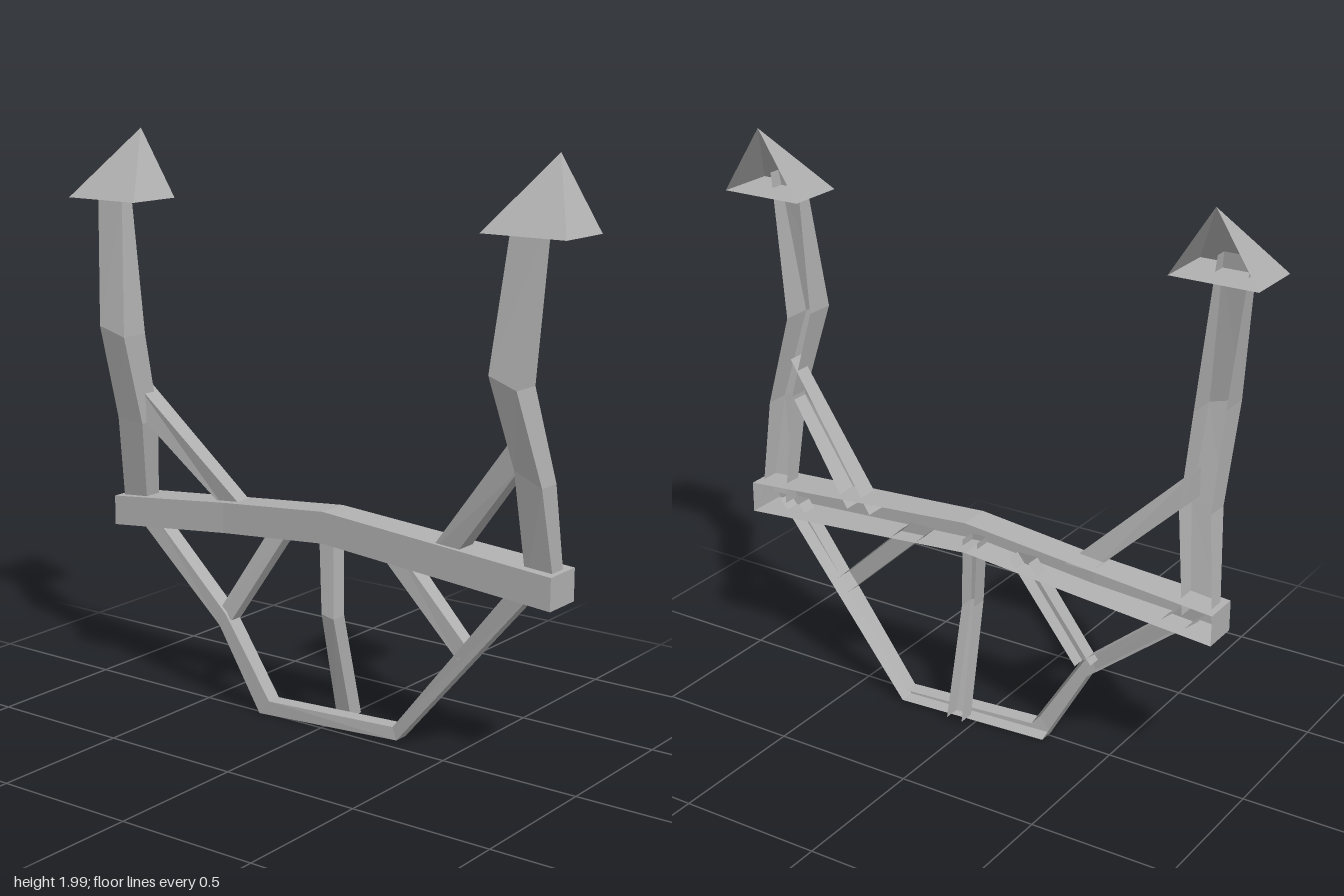
import * as THREE from 'three';

const stone = new THREE.MeshStandardMaterial({ color: 0xb0b0b0, side: THREE.DoubleSide, flatShading: true });
stone.name = 'plain grey';

// Flat-shaded mesh from a list of polygons (corners counter-clockwise from outside)
function facetMesh(name, polygons) {
  const positions = [];
  for (const poly of polygons) {
    for (let i = 1; i < poly.length - 1; i++) {
      positions.push(...poly[0], ...poly[i], ...poly[i + 1]);
    }
  }
  const geometry = new THREE.BufferGeometry();
  geometry.setAttribute('position', new THREE.Float32BufferAttribute(positions, 3));
  geometry.computeVertexNormals();
  const mesh = new THREE.Mesh(geometry, stone);
  mesh.name = name;
  return mesh;
}

// Beam open at the back. Each station: left edge x,y, right edge x,y (along travel), front z, back z
function channel(name, stations, closedEnds = false) {
  const rings = stations.map(([ax, ay, bx, by, zf, zb]) => [
    [ax, ay, zb], [ax, ay, zf], [bx, by, zf], [bx, by, zb],
  ]);
  const polygons = [];
  for (let i = 0; i < rings.length - 1; i++) {
    for (let j = 0; j < 3; j++) {
      polygons.push([rings[i][j], rings[i][j + 1], rings[i + 1][j + 1], rings[i + 1][j]]);
    }
  }
  if (closedEnds) {
    polygons.push([...rings[0]].reverse(), rings[rings.length - 1]);
  }
  return facetMesh(name, polygons);
}

// Half pyramid with its apex above the open back edge
function pointedCap(name, x) {
  const w = 0.15, y = 1.766, back = -0.08, front = 0.13;
  const apex = [x, 2, back];
  const bl = [x - w, y, back], br = [x + w, y, back];
  const fl = [x - w, y, front], fr = [x + w, y, front];
  return facetMesh(name, [[fl, fr, apex], [fr, br, apex], [bl, fl, apex], [bl, br, fr, fl]]);
}

export function createModel() {
  const model = new THREE.Group();
  model.name = 'openFrame';

  // Bent crossbeam
  model.add(channel('crossbeam', [
    [-0.905, 0.694, -0.905, 0.588, 0.03, -0.1],
    [-0.42, 0.738, -0.42, 0.63, 0.008, -0.1],
    [0.02, 0.778, 0.02, 0.668, 0.02, -0.095],
    [0.913, 0.714, 0.913, 0.604, 0.04, -0.105],
  ], true));

  // Crooked uprights with pointed caps
  model.add(channel('rightPost', [
    [-0.89, 0.65, -0.785, 0.65, -0.01, -0.07],
    [-0.847, 0.996, -0.735, 0.985, 0.065, -0.02],
    [-0.857, 1.33, -0.746, 1.3, 0.138, 0.03],
    [-0.91, 1.766, -0.8, 1.766, 0.075, 0.025],
    [-0.917, 1.82, -0.807, 1.82, 0.066, 0.024],
  ]));
  model.add(channel('leftPost', [
    [0.796, 0.65, 0.898, 0.65, -0.01, -0.07],
    [0.788, 1.04, 0.889, 0.996, 0.065, -0.02],
    [0.735, 1.34, 0.836, 1.304, 0.138, 0.03],
    [0.762, 1.766, 0.873, 1.766, 0.075, 0.025],
    [0.765, 1.82, 0.878, 1.82, 0.066, 0.024],
  ]));
  model.add(pointedCap('rightCap', -0.846), pointedCap('leftCap', 0.84));

  // Diagonal braces between posts and crossbeam
  model.add(channel('rightUpperBrace', [
    [-0.43, 0.694, -0.33, 0.694, -0.03, -0.09],
    [-0.77, 1.018, -0.77, 1.12, 0.05, -0.02],
  ]));
  model.add(channel('leftUpperBrace', [
    [0.43, 0.695, 0.525, 0.695, 0.01, -0.07],
    [0.8, 1.172, 0.8, 1.04, 0.055, -0.005],
  ]));

  // Hanging frame below the crossbeam, inner edge first
  model.add(channel('lowerFrame', [
    [-0.75, 0.645, -0.835, 0.635, 0.0, -0.06],
    [-0.396, 0.348, -0.422, 0.3, 0.03, -0.03],
    [-0.215, 0.06, -0.258, 0.008, 0.015, -0.04],
    [0.273, 0.062, 0.289, 0.018, -0.035, -0.09],
    [0.755, 0.646, 0.838, 0.646, 0.012, -0.045],
  ]));

  // Struts inside the hanging frame
  model.add(channel('centreStrut', [
    [0.01, 0.04, 0.07, 0.04, -0.075, -0.135],
    [0.032, 0.43, 0.082, 0.42, 0.04, -0.02],
    [0, 0.69, 0.058, 0.69, 0.01, -0.05],
  ]));
  model.add(channel('rightLowerBrace', [
    [-0.435, 0.345, -0.375, 0.325, 0.02, -0.03],
    [-0.225, 0.69, -0.148, 0.69, -0.03, -0.085],
  ]));
  model.add(channel('leftLowerBrace', [
    [0.545, 0.357, 0.585, 0.403, -0.01, -0.06],
    [0.18, 0.692, 0.275, 0.692, -0.035, -0.1],
  ]));

  return model;
}
